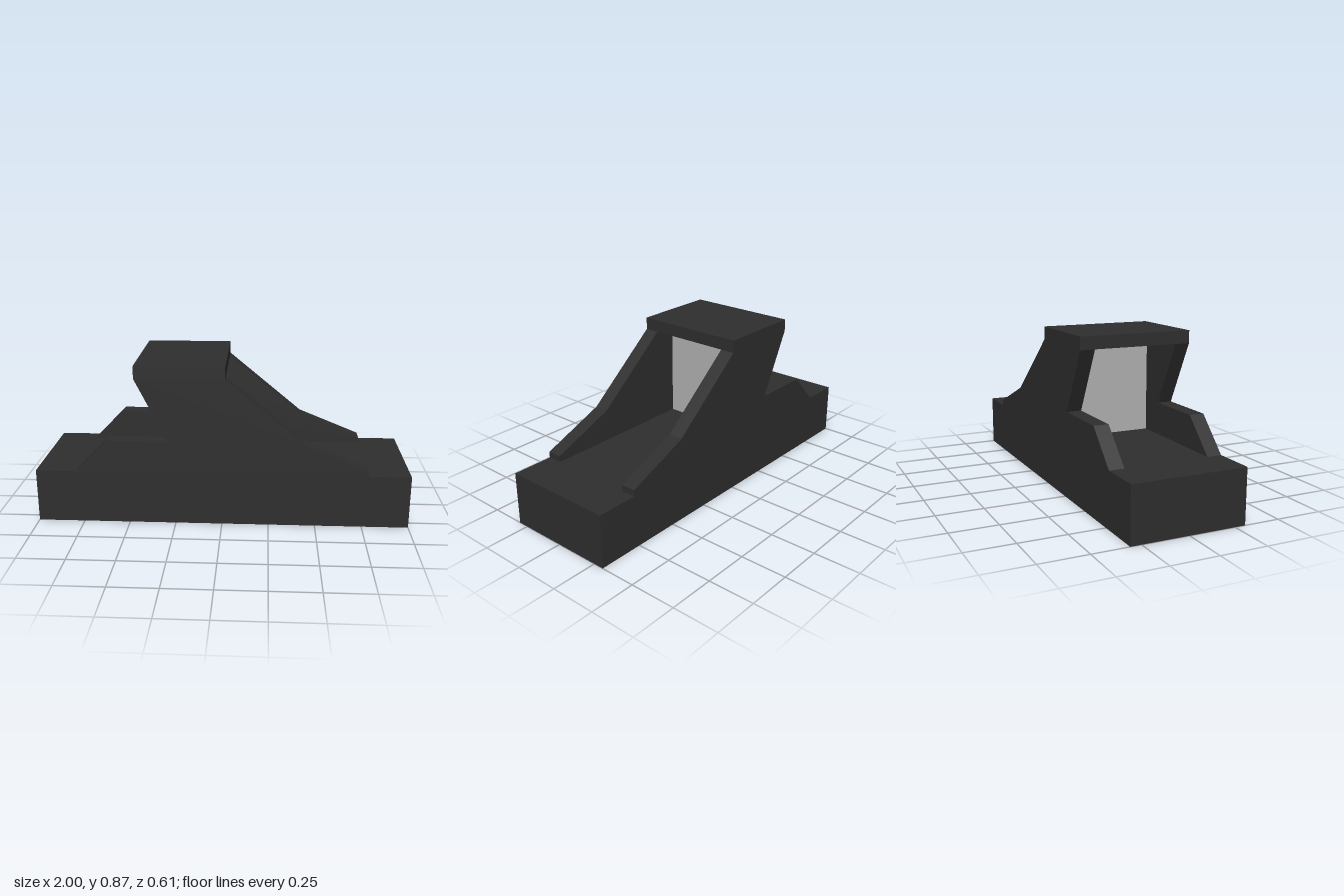
import * as THREE from 'three';

const HALF_DEPTH = 0.307, INNER = 0.227, FLOOR = 0.29, EAVE = 0.805, TOP = 0.872;

export function createModel() {
  const group = new THREE.Group();
  const dark = new THREE.MeshStandardMaterial({ color: 0x2e2e2e });
  dark.name = 'charcoal';
  const glass = new THREE.MeshStandardMaterial({ color: 0xb0b0b0 });
  glass.name = 'pale grey glass';

  // Box given by its lower and upper limits, centred on z = 0
  function box(name, x0, x1, y0, y1, halfZ, material) {
    const mesh = new THREE.Mesh(new THREE.BoxGeometry(x1 - x0, y1 - y0, halfZ * 2), material);
    mesh.position.set((x0 + x1) / 2, (y0 + y1) / 2, 0);
    mesh.name = name;
    group.add(mesh);
  }

  box('base', -1, 1, 0, FLOOR, HALF_DEPTH, dark);
  box('roof', -0.455, 0.018, EAVE, TOP, HALF_DEPTH, dark);
  box('glassPane', -0.149, -0.107, FLOOR, EAVE, INNER, glass);

  // Sloping side walls, standing flush with both long sides of the base
  const profile = new THREE.Shape([
    [-0.78, FLOOR], [0.775, FLOOR], [0.775, 0.323], [0.43, 0.464], [0.018, EAVE],
    [-0.455, EAVE], [-0.283, 0.464], [-0.61, 0.464],
  ].map(([x, y]) => new THREE.Vector2(x, y)));
  const wallGeometry = new THREE.ExtrudeGeometry(profile, {
    depth: HALF_DEPTH - INNER, bevelEnabled: false,
  });
  for (const [name, z] of [['frontWall', INNER], ['backWall', -HALF_DEPTH]]) {
    const wall = new THREE.Mesh(wallGeometry, dark);
    wall.position.z = z;
    wall.name = name;
    group.add(wall);
  }

  return group;
}
